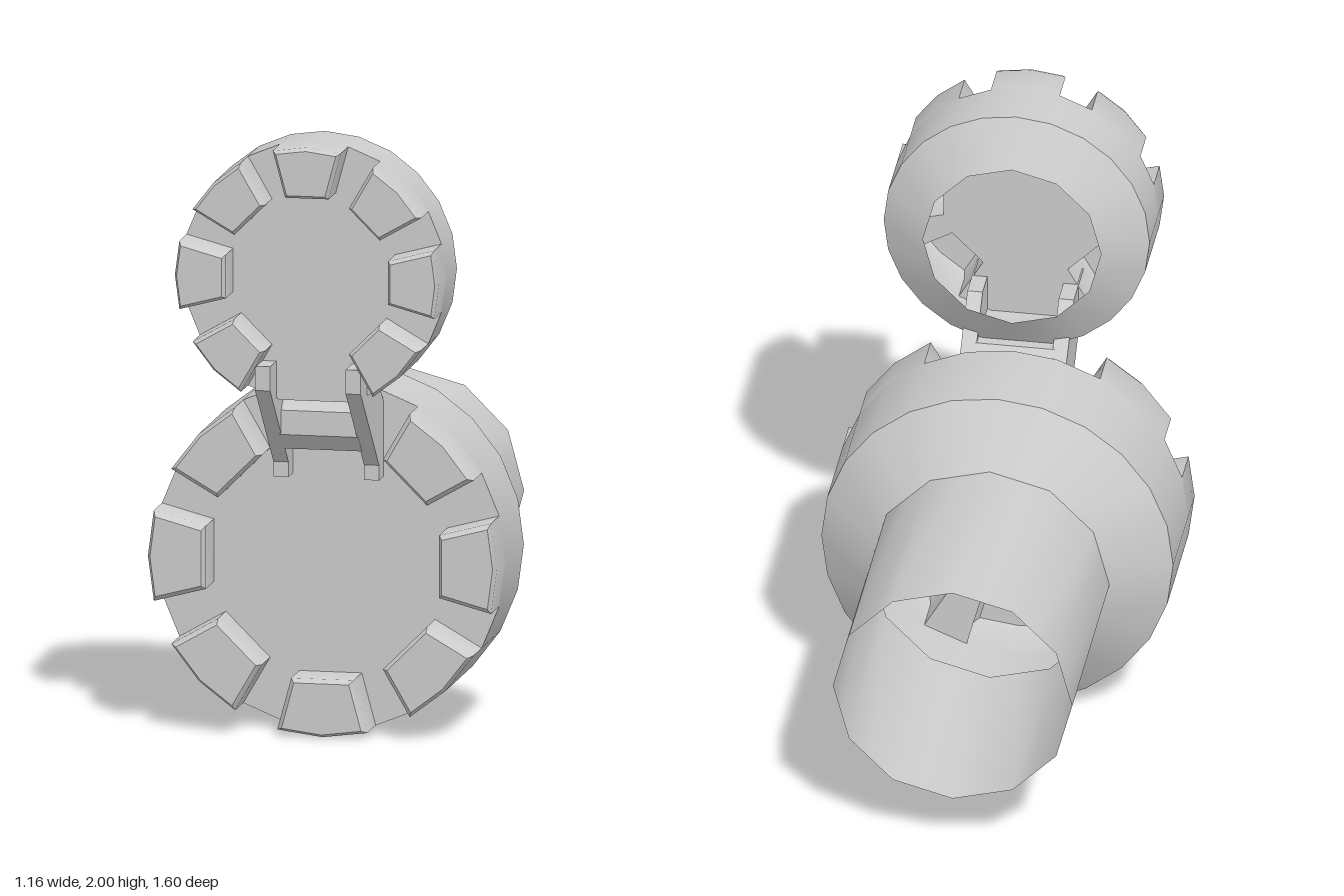
import * as THREE from 'three';
import { toCreasedNormals } from 'three/addons/utils/BufferGeometryUtils.js';

const material = new THREE.MeshStandardMaterial({ color: 0xcccccc, side: THREE.DoubleSide });
const RAD = Math.PI / 180;
const STEP = 15; // the discs have 24 sides
const polar = (r, deg) => [r * Math.cos(deg * RAD), r * Math.sin(deg * RAD)];

function addMesh(parent, name, geometry) {
  const mesh = new THREE.Mesh(geometry, material);
  mesh.name = name;
  parent.add(mesh);
  return mesh;
}

// Skin between closed loops of [x, y, z] points, given from back to front
function loft(loops, capFront = false) {
  const n = loops[0].length;
  const index = [];
  for (let i = 0; i < loops.length - 1; i++) {
    for (let j = 0; j < n; j++) {
      const a = i * n + j, b = i * n + (j + 1) % n;
      index.push(a, b, b + n, a, b + n, a + n);
    }
  }
  const last = (loops.length - 1) * n;
  if (capFront) for (let j = 1; j < n - 1; j++) index.push(last, last + j, last + j + 1);
  const geometry = new THREE.BufferGeometry();
  geometry.setAttribute('position', new THREE.Float32BufferAttribute(loops.flat(2), 3));
  geometry.setIndex(index);
  return toCreasedNormals(geometry, 0.7);
}

// 24-point ring; a coarse ring has its odd points on the chords of a 12-gon
function ring(r, z, coarse = false, flatAt = -1) {
  return Array.from({ length: 24 }, (_, i) => {
    const flat = (coarse && i % 2) || i * STEP === flatAt;
    return [...polar(flat ? r * Math.cos(STEP * RAD) : r, i * STEP), z];
  });
}

// Hollow tooth with a small bevel round its front face
function toothGeometry(o, angle) {
  const outline = [
    polar(o.r, angle - STEP), polar(o.r, angle), polar(o.r, angle + STEP),
    polar(o.toothInner, angle + STEP), polar(o.toothInner, angle - STEP),
  ];
  const [cx, cy] = polar((o.r + o.toothInner) / 2, angle);
  const inset = outline.map(([x, y]) => [cx + (x - cx) * 0.88, cy + (y - cy) * 0.88]);
  const at = (points, z) => points.map(([x, y]) => [x, y, z]);
  return loft([at(outline, o.face), at(outline, o.front - 0.02), at(inset, o.front)], true);
}

// Face plate, open behind every tooth
function plateGeometry(o) {
  const points = [];
  for (let angle = 0; angle < 360; angle += 45) {
    if (angle === o.gap) {
      const mid = o.flat ? o.r * Math.cos(STEP * RAD) : o.r;
      points.push(polar(o.r, angle - STEP), polar(mid, angle), polar(o.r, angle + STEP));
    } else {
      points.push(
        polar(o.r, angle - STEP), polar(o.toothInner, angle - STEP),
        polar(o.toothInner, angle + STEP), polar(o.r, angle + STEP),
      );
    }
  }
  const shape = new THREE.Shape(points.map(([x, y]) => new THREE.Vector2(x, y)));
  return new THREE.ShapeGeometry(shape).translate(0, 0, o.face);
}

function toothedDisc(name, o) {
  const disc = new THREE.Group();
  disc.name = name;
  disc.position.y = o.y;
  const flatAt = o.flat ? o.gap : -1;
  const loops = [
    ring(o.neck, o.neckZ, true), ring(o.r, o.rimZ, false, flatAt), ring(o.r, o.face, false, flatAt),
  ];
  addMesh(disc, 'rim', loft(loops));
  addMesh(disc, 'facePlate', plateGeometry(o));
  for (let angle = 0; angle < 360; angle += 45) {
    if (angle !== o.gap) addMesh(disc, 'tooth', toothGeometry(o, angle));
  }
  return disc;
}

export function createModel() {
  const model = new THREE.Group();
  model.name = 'tubeWithHingedCap';

  // Large head with a gap in its teeth at the top
  const head = toothedDisc('head', {
    y: 0.585, r: 0.578, toothInner: 0.4, neck: 0.393,
    neckZ: -0.05, rimZ: 0.1, face: 0.4, front: 0.55, gap: 90,
  });
  model.add(head);

  // Open tube behind the head
  addMesh(head, 'tube', loft([ring(0.393, -0.8, true), ring(0.393, -0.05, true)]));

  // Small cap with a gap in its teeth at the bottom and an open back
  model.add(toothedDisc('cap', {
    y: 1.565, r: 0.437, toothInner: 0.278, neck: 0.293,
    neckZ: 0.395, rimZ: 0.49, face: 0.665, front: 0.8, gap: 270, flat: true,
  }));

  // Pair of slanted hinge arms, profile drawn as (z, y)
  const profile = [
    [0.39, 0.85], [0.47, 0.85], [0.47, 0.9], [0.765, 1.19],
    [0.765, 1.27], [0.57, 1.27], [0.39, 1.09],
  ];
  const armShape = new THREE.Shape(profile.map(([z, y]) => new THREE.Vector2(z, y)));
  for (const side of [-1, 1]) {
    const arm = new THREE.ExtrudeGeometry(armShape, { depth: 0.05, bevelEnabled: false });
    arm.rotateY(-Math.PI / 2).translate(side * 0.15 + 0.025, 0, 0);
    addMesh(model, 'hingeArm', arm);
  }

  // Eight-sided pin between the arms
  const pin = new THREE.CylinderGeometry(0.105, 0.105, 0.26, 8).toNonIndexed();
  pin.rotateY(Math.PI / 8).rotateZ(Math.PI / 2).translate(0, 1.053, 0.49);
  pin.computeVertexNormals();
  addMesh(model, 'hingePin', pin);

  return model;
}
